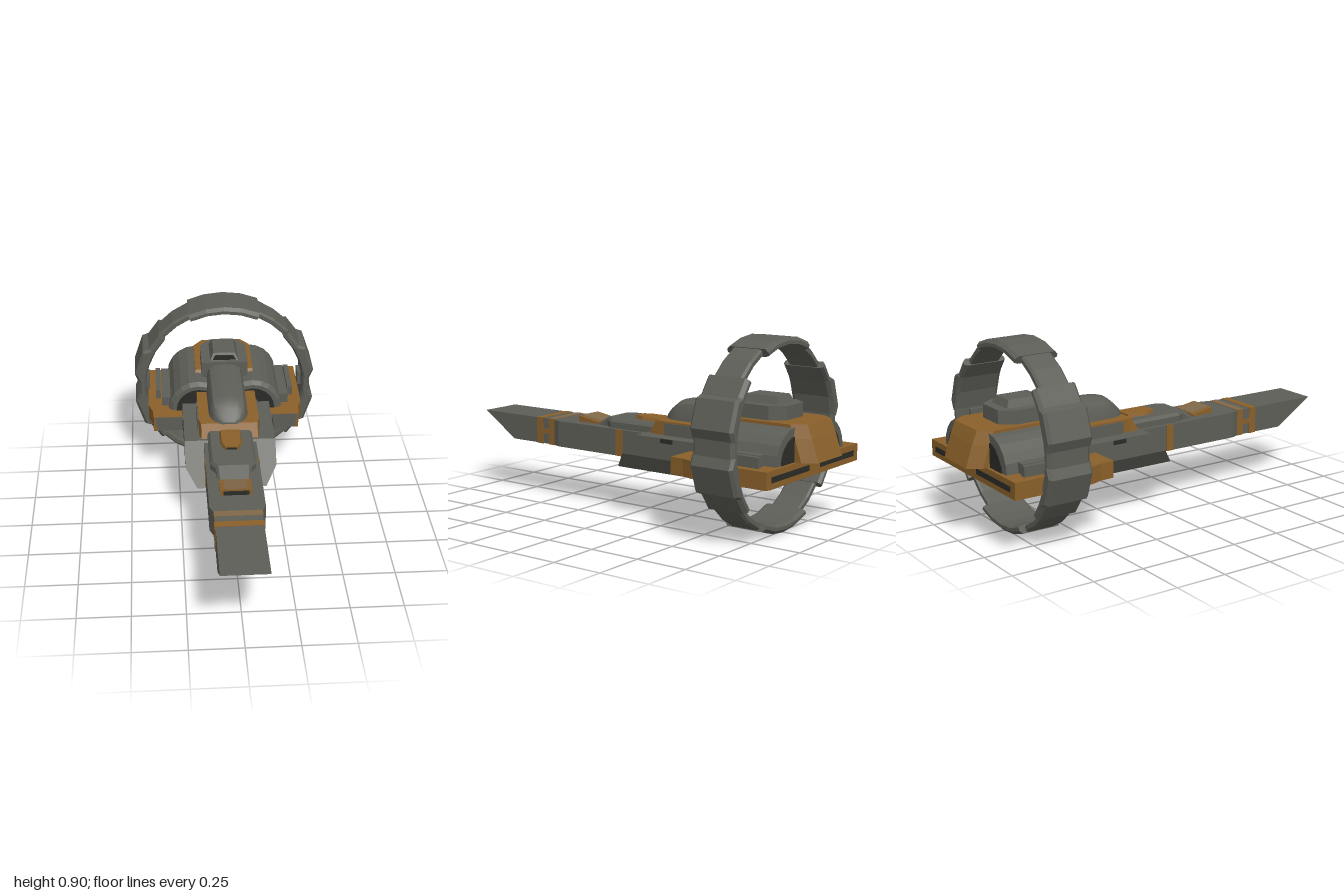
import * as THREE from 'three';
import { toCreasedNormals } from 'three/addons/utils/BufferGeometryUtils.js';

const mat = (name, color) => new THREE.MeshStandardMaterial({ name, color });

// Joins equal-length closed cross-sections into a capped solid facing outward
function loft(sections) {
  const tris = [];
  const n = sections[0].length;
  const add = (a, b, c) => tris.push([a, b, c]);
  for (let i = 0; i < sections.length - 1; i++) {
    const A = sections[i], B = sections[i + 1];
    for (let j = 0; j < n; j++) {
      const k = (j + 1) % n;
      add(A[j], A[k], B[k]);
      add(A[j], B[k], B[j]);
    }
  }
  const centre = (s) => [0, 1, 2].map((d) => s.reduce((t, p) => t + p[d], 0) / n);
  const first = sections[0], last = sections[sections.length - 1];
  const c0 = centre(first), c1 = centre(last);
  for (let j = 0; j < n; j++) {
    const k = (j + 1) % n;
    add(c0, first[k], first[j]);
    add(c1, last[j], last[k]);
  }
  let volume = 0;
  for (const [a, b, c] of tris) {
    volume += a[0] * (b[1] * c[2] - b[2] * c[1]) + a[1] * (b[2] * c[0] - b[0] * c[2]) + a[2] * (b[0] * c[1] - b[1] * c[0]);
  }
  const out = tris.flatMap(([a, b, c]) => (volume < 0 ? [...a, ...c, ...b] : [...a, ...b, ...c]));
  const g = new THREE.BufferGeometry();
  g.setAttribute('position', new THREE.Float32BufferAttribute(out, 3));
  g.computeVertexNormals();
  return g;
}

// Side outline [z, y] stretched across x
const slab = (x0, x1, pts) => loft([x0, x1].map((x) => pts.map(([z, y]) => [x, y, z])));
// Plan outline [x, z] stretched from y0 to y1, with optional narrowing at the top
const plan = (y0, y1, pts, sx = 1, sz = 1, zc = 0) => loft([
  pts.map(([x, z]) => [x, y0, z]),
  pts.map(([x, z]) => [x * sx, y1, zc + (z - zc) * sz]),
]);
const mirrored = (half) => [...half, ...half.slice().reverse().map(([x, z]) => [-x, z])];

export function createModel() {
  const grey = mat('hull grey', 0x5e5e58);
  const ochre = mat('ochre paint', 0x8a602a);
  const tan = mat('worn tan', 0x80694a);
  const dark = mat('dark opening', 0x2b2b28);

  const model = new THREE.Group();
  model.name = 'ringShip';
  const put = (name, geometry, material) => {
    const m = new THREE.Mesh(geometry, material);
    m.name = name;
    model.add(m);
    return m;
  };
  const box = (name, material, x0, x1, y0, y1, z0, z1) => {
    const m = put(name, new THREE.BoxGeometry(Math.abs(x1 - x0), y1 - y0, Math.abs(z1 - z0)), material);
    m.position.set((x0 + x1) / 2, (y0 + y1) / 2, (z0 + z1) / 2);
    return m;
  };

  // Long nose with an undercut tip, and its wider rear part
  put('nose', slab(-0.11, 0.11, [[1, 0.4], [0.8, 0.27], [0.4, 0.27], [0.4, 0.4]]), grey);
  put('noseRear', plan(0.27, 0.4, mirrored([[0.11, 0.53], [0.13, 0.48], [0.13, -0.2]])), grey);
  put('noseDeck', loft([[0.27, 0.08, 0.402], [0.2, 0.085, 0.445], [0.16, 0.11, 0.445], [-0.12, 0.11, 0.445]]
    .map(([z, w, y]) => [[-w, 0.39, z], [w, 0.39, z], [w, y - 0.015, z], [w - 0.012, y, z], [-w + 0.012, y, z], [-w, y - 0.015, z]])), grey);

  // Painted bands around the nose
  box('noseBandFront', ochre, -0.113, 0.113, 0.268, 0.402, 0.6, 0.64);
  box('noseBandRear', ochre, -0.113, 0.113, 0.268, 0.401, 0.52, 0.56);
  box('noseBandWear', tan, -0.11, 0.11, 0.4, 0.403, 0.52, 0.56);
  for (const s of [-1, 1]) {
    box('noseBandLink', ochre, s * 0.108, s * 0.113, 0.322, 0.345, 0.555, 0.605);
    box('noseSideBand', ochre, s * 0.127, s * 0.133, 0.27, 0.4, 0.07, 0.11);
  }

  // Two scoops on top of the nose
  put('frontScoop', slab(-0.075, 0.075, [[0.39, 0.395], [0.39, 0.43], [0.27, 0.41], [0.27, 0.395]]), ochre);
  put('frontScoopTop', slab(-0.055, 0.055, [[0.385, 0.425], [0.385, 0.432], [0.275, 0.414], [0.275, 0.408]]), tan);
  box('frontScoopOpening', dark, -0.06, 0.06, 0.402, 0.423, 0.388, 0.393);
  put('rearScoop', plan(0.44, 0.462, mirrored([[0.035, 0.06], [0.055, 0.01], [0.055, -0.1]]), 0.85), ochre);
  box('rearScoopOpening', dark, -0.025, 0.025, 0.446, 0.456, 0.055, 0.062);

  // Main hull: chamfered keel with a raked front face
  const rake = (y) => 0.065 - (y - 0.23) * 0.86;
  const hullEdge = [[0.225, 0.41], [0.225, 0.31], [0.17, 0.23], [-0.17, 0.23], [-0.225, 0.31], [-0.225, 0.41]];
  put('hull', loft([
    hullEdge.map(([x, y]) => [x, y, rake(y)]),
    hullEdge.map(([x, y]) => [x, y, -0.55]),
    hullEdge.map(([x, y]) => [x * 0.95, y, -0.79]),
  ]), grey);

  // Ochre cockpit deck and rear hump
  put('cockpitDeck', plan(0.405, 0.475, mirrored([[0.14, -0.1], [0.15, -0.14], [0.15, -0.8]]), 1, 0.94, -0.8), ochre);
  put('rearHump', loft([[0.37, -0.55, -1], [0.475, -0.55, -0.965], [0.535, -0.6, -0.94]].map(([y, zf, zb]) =>
    mirrored([[0.15, zf], [0.15, zb + 0.06], [0.105, zb]]).map(([x, z]) => [x, y, z]))), ochre);

  // Rounded canopy
  const canopy = loft([
    [-0.135, 0.035, 0.01], [-0.15, 0.062, 0.03], [-0.18, 0.084, 0.062],
    [-0.215, 0.095, 0.092], [-0.25, 0.098, 0.1], [-0.58, 0.1, 0.118],
  ].map(([z, w, h]) => [[1, 0], [0.9, 0.62], [0.78, 0.82], [0.45, 0.95], [0, 1], [-0.45, 0.95], [-0.78, 0.82], [-0.9, 0.62], [-1, 0]]
    .map(([a, b]) => [a * w, 0.473 + b * h, z])));
  put('canopy', toCreasedNormals(canopy, 0.6), grey);

  // Block behind the canopy with a raised intake
  put('dorsalBlock', plan(0.47, 0.6, mirrored([[0.12, -0.55], [0.12, -0.75], [0.07, -0.815]])), grey);
  put('dorsalIntake', plan(0.595, 0.635, mirrored([[0.075, -0.57], [0.075, -0.77]]), 0.75, 0.8, -0.68), grey);
  put('dorsalIntakeOpening', loft([-0.571, -0.58].map((z) =>
    [[-0.06, 0.603, z], [0.06, 0.603, z], [0.046, 0.627, z], [-0.046, 0.627, z]])), dark);

  for (const s of [-1, 1]) {
    // Panels along the deck and hull sides
    box('deckSidePanel', grey, s * 0.14, s * 0.157, 0.41, 0.468, -0.2, -0.38);
    box('hullVent', dark, s * 0.22, s * 0.229, 0.388, 0.408, -0.23, -0.3);

    // Half-round engine housing
    const arc = (r, z) => Array.from({ length: 11 }, (_, i) => {
      const a = (i / 10) * Math.PI;
      return [s * 0.14 + r * Math.cos(a), 0.37 + r * Math.sin(a), z];
    });
    put('engineHousing', loft([arc(0.135, -0.47), arc(0.153, -0.49), arc(0.153, -0.9)]), grey);
    put('engineCore', loft([arc(0.115, -0.465), arc(0.115, -0.905)]), dark);
    box('engineRail', grey, s * 0.27, s * 0.33, 0.365, 0.42, -0.52, -0.84);
    box('engineRailOuter', grey, s * 0.335, s * 0.36, 0.365, 0.418, -0.6, -0.85);

    // Side wing with grey leading panel
    put('wing', plan(0.29, 0.37, [[0.2, -0.4], [0.375, -0.4], [0.38, -0.47], [0.4, -0.53], [0.4, -0.92], [0.2, -0.92]]
      .map(([x, z]) => [s * x, z])), ochre);
    put('wingFrontPanel', loft([-0.396, -0.403].map((z) =>
      [[s * 0.2, 0.292, z], [s * 0.355, 0.292, z], [s * 0.37, 0.368, z], [s * 0.2, 0.368, z]])), grey);
    box('rearSlot', dark, s * 0.05, s * 0.36, 0.317, 0.343, -0.916, -0.923);
  }
  box('rearBar', ochre, -0.4, 0.4, 0.29, 0.37, -0.78, -0.92);

  // Ring built from swept sections; angles are measured from the top
  const sweep = (stations, profile) => loft(stations.map(([deg, lift]) => {
    const a = THREE.MathUtils.degToRad(deg);
    return profile.map(([r, z, outer]) => {
      const q = r + (outer ? lift : 0);
      return [q * Math.sin(a), 0.45 + q * Math.cos(a), -0.672 + z];
    });
  }));
  const section = (r0, r1, w, b) => [
    [r0, -w + b], [r0, w - b], [r0 + b / 2, w], [r1 - b, w, 1], [r1, w - b, 1], [r1, -w + b, 1], [r1 - b, -w, 1], [r0 + b / 2, -w],
  ];
  const span = (a, b) => Array.from({ length: Math.round((b - a) / 12) + 1 }, (_, i) => [a + i * 12, 0]);
  const wide = section(0.41, 0.45, 0.108, 0.016);
  const narrow = section(0.413, 0.447, 0.076, 0.01);
  for (const mid of [0, 180]) put('ringEndSegment', sweep(span(mid - 24, mid + 24), wide), grey);
  for (const mid of [90, 270]) {
    put('ringSideSegment', sweep(span(mid - 42, mid + 42), wide), grey);
    for (const dir of [-1, 1]) {
      put('ringBumper', sweep([[30, -0.003], [26.5, 0.022], [10, 0.023], [4.5, -0.002]].map(([d, l]) => [mid + dir * d, l]),
        section(0.415, 0.45, 0.112, 0.014)), grey);
    }
    const s = mid === 90 ? 1 : -1;
    box('ringInnerPad', grey, s * 0.39, s * 0.42, 0.415, 0.485, -0.63, -0.715);
  }
  for (const mid of [36, 144, 216, 324]) put('ringLink', sweep(span(mid - 12, mid + 12), narrow), grey);

  return model;
}
